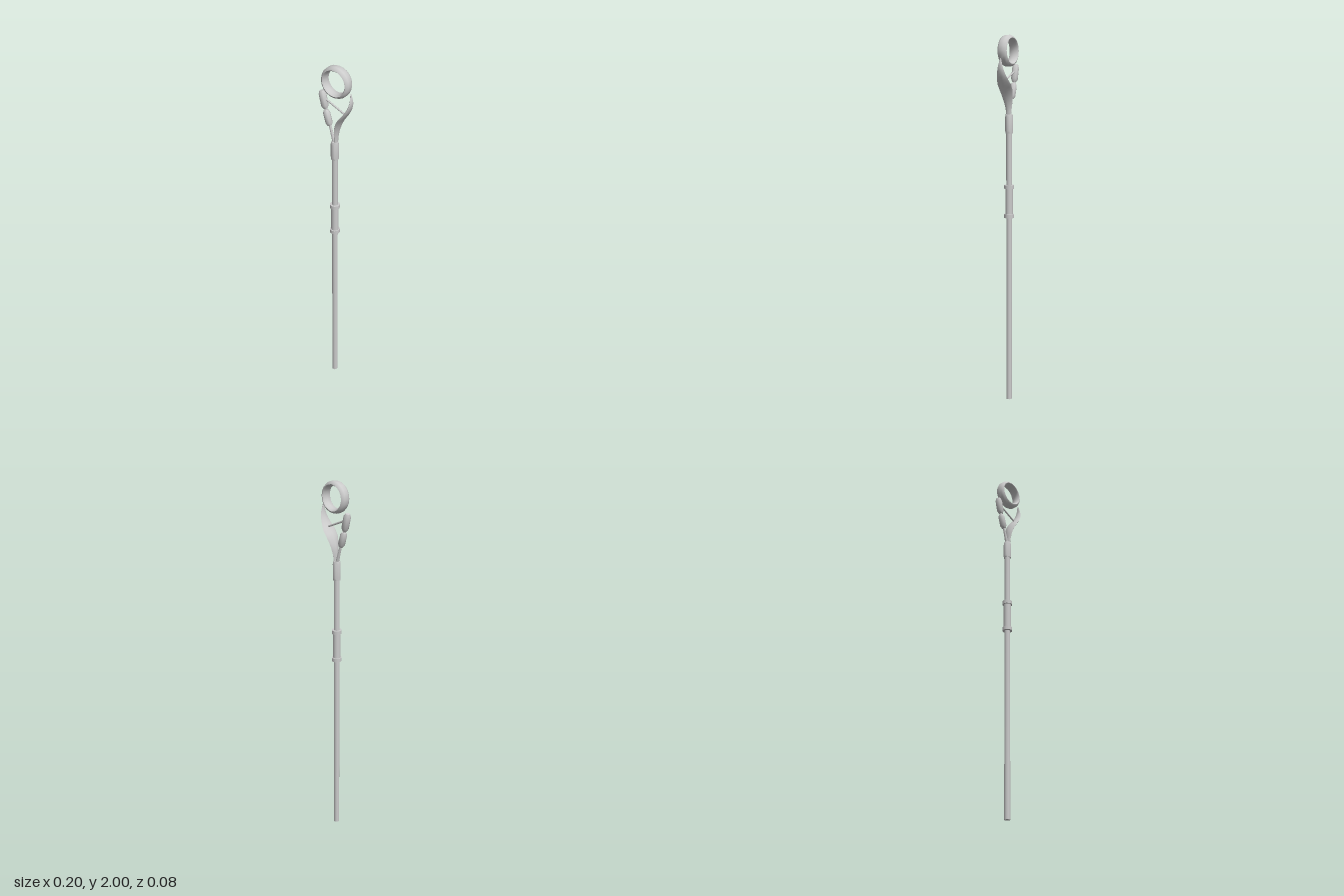
import * as THREE from 'three';
import { toCreasedNormals } from 'three/addons/utils/BufferGeometryUtils.js';

const material = new THREE.MeshStandardMaterial({ color: 0xcccccc });
const AXIS = -0.006; // x of the shaft axis

function add(group, name, geometry) {
  const mesh = new THREE.Mesh(geometry, material);
  mesh.name = name;
  group.add(mesh);
  return mesh;
}

// Turned part from [radius, height] pairs
function turned(points, sides, crease = 0.7) {
  const g = new THREE.LatheGeometry(points.map(([r, y]) => new THREE.Vector2(r, y)), sides);
  return toCreasedNormals(g, crease);
}

// Places a part made along +y from point a towards point b
function aim(mesh, a, b) {
  const dir = new THREE.Vector3().subVectors(b, a).normalize();
  mesh.quaternion.setFromUnitVectors(new THREE.Vector3(0, 1, 0), dir);
  mesh.position.copy(a);
}

function rod(group, name, a, b, r0, r1) {
  const h = a.distanceTo(b);
  aim(add(group, name, new THREE.CylinderGeometry(r1, r0, h, 8).translate(0, h / 2, 0)), a, b);
}

// Capsule-like pod with chamfered ends
function pod(group, name, a, b, r) {
  const h = a.distanceTo(b);
  const profile = [[0, 0], [r * 0.65, 0], [r, h * 0.17], [r, h * 0.83], [r * 0.65, h], [0, h]];
  aim(add(group, name, turned(profile, 8, 0.9)), a, b);
}

// Leaf blade lofted along a curve in the xy plane; rows are [x, y, half width, half thickness]
function bladeGeometry() {
  const rows = [
    [0.002, 1.575, 0.012, 0.008], [0.003, 1.62, 0.017, 0.008], [0.009, 1.665, 0.028, 0.009],
    [0.026, 1.71, 0.038, 0.009], [0.05, 1.745, 0.04, 0.008], [0.077, 1.785, 0.028, 0.007],
    [0.092, 1.83, 0.016, 0.006], [0.089, 1.878, 0.003, 0.002],
  ];
  const path = new THREE.CatmullRomCurve3(rows.map(([x, y]) => new THREE.Vector3(x, y, 0)));
  const steps = 21, sides = 8, pos = [], idx = [];
  for (let i = 0; i <= steps; i++) {
    const t = i / steps, p = path.getPoint(t), d = path.getTangent(t);
    const f = t * (rows.length - 1), k = Math.min(Math.floor(f), rows.length - 2);
    const width = THREE.MathUtils.lerp(rows[k][2], rows[k + 1][2], f - k);
    const thick = THREE.MathUtils.lerp(rows[k][3], rows[k + 1][3], f - k);
    for (let j = 0; j < sides; j++) {
      const a = (j / sides) * Math.PI * 2, n = Math.cos(a) * thick;
      pos.push(p.x + d.y * n, p.y - d.x * n, Math.sin(a) * width);
      if (i < steps) {
        const q = i * sides + j, r = i * sides + ((j + 1) % sides);
        idx.push(q, q + sides, r, r, q + sides, r + sides);
      }
    }
  }
  const top = steps * sides;
  for (let j = 1; j < sides - 1; j++) {
    idx.push(0, j, j + 1, top, top + j + 1, top + j);
  }
  const g = new THREE.BufferGeometry();
  g.setAttribute('position', new THREE.Float32BufferAttribute(pos, 3));
  g.setIndex(idx);
  g.computeVertexNormals();
  return toCreasedNormals(g, 0.9);
}

export function createModel() {
  const model = new THREE.Group();
  model.name = 'ringStaff';
  const v = (x, y) => new THREE.Vector3(x, y, 0);

  // Shaft, grip and head socket
  const shaft = new THREE.Group();
  shaft.name = 'shaft';
  shaft.position.x = AXIS;
  model.add(shaft);
  const cylinder = (name, r, y0, y1) =>
    add(shaft, name, new THREE.CylinderGeometry(r, r, y1 - y0, 12).translate(0, (y0 + y1) / 2, 0));
  cylinder('pole', 0.0155, 0, 1.5);
  cylinder('grip', 0.02, 1.04, 1.2);
  for (const y of [1.04, 1.199]) cylinder('gripCollar', 0.027, y - 0.01, y + 0.01);
  add(shaft, 'socket', turned(
    [[0, 1.487], [0.02, 1.487], [0.021, 1.5], [0.021, 1.575], [0.018, 1.588], [0, 1.588]], 12));

  // Curved leaf blade
  add(model, 'blade', bladeGeometry());

  // Stem with two pods, and a thin bar across to the blade
  rod(model, 'stem', v(-0.009, 1.58), v(-0.038, 1.68), 0.009, 0.006);
  rod(model, 'podLink', v(-0.06, 1.74), v(-0.065, 1.77), 0.007, 0.007);
  pod(model, 'lowerPod', v(-0.037, 1.671), v(-0.061, 1.75), 0.018);
  pod(model, 'upperPod', v(-0.063, 1.758), v(-0.085, 1.849), 0.019);
  rod(model, 'crossBar', v(-0.07, 1.813), v(0.058, 1.758), 0.005, 0.005);

  // Floating ring, wide band with a rounded outer face
  const band = [
    [0.062, -0.02], [0.068, -0.027], [0.076, -0.023], [0.082, -0.012], [0.082, 0.012],
    [0.076, 0.023], [0.068, 0.027], [0.062, 0.02], [0.061, 0], [0.062, -0.02],
  ];
  const ring = add(model, 'ring', turned(band, 20, 0.9));
  ring.rotation.x = Math.PI / 2;
  ring.position.set(0.004, 1.918, 0);

  return model;
}
